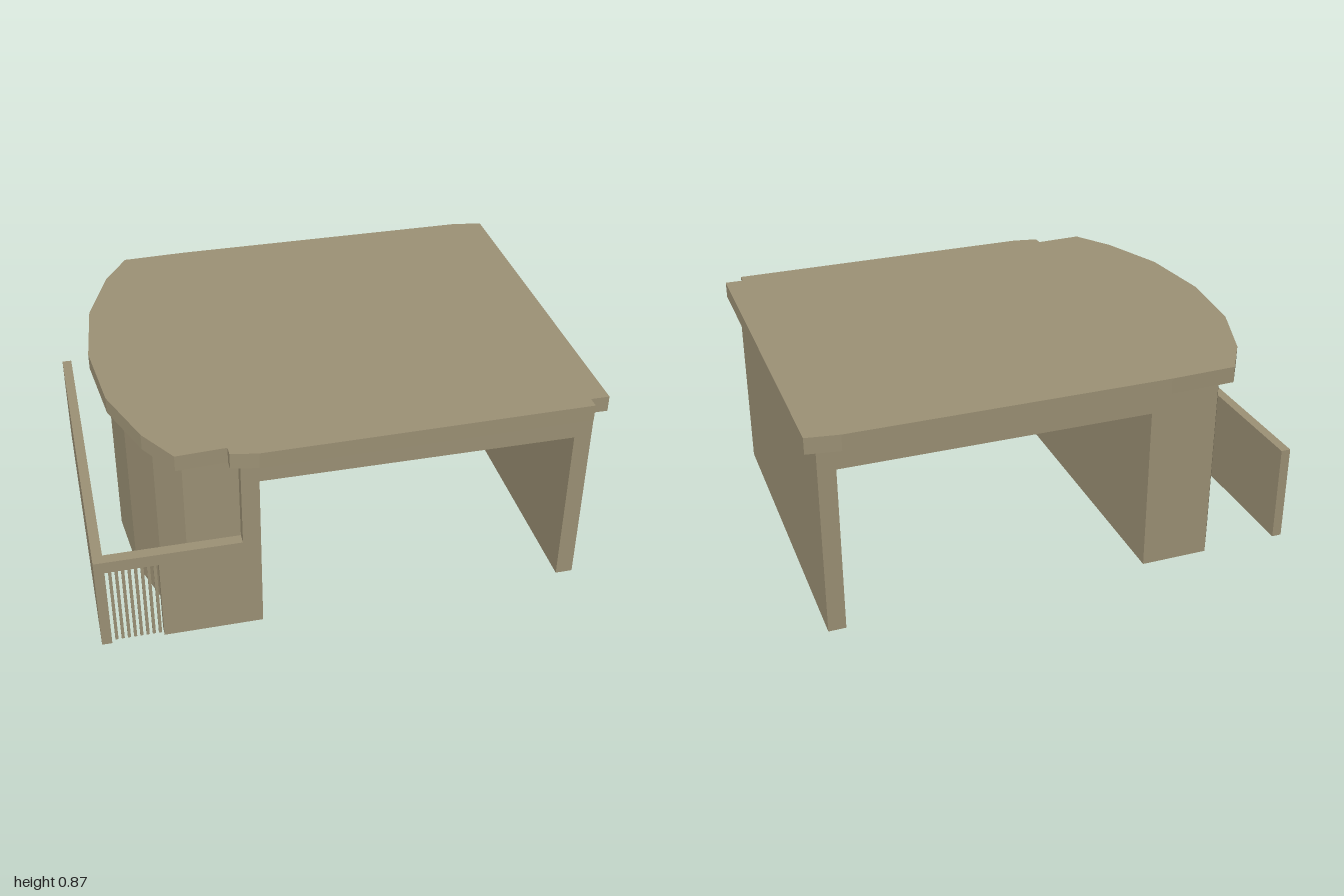
import * as THREE from 'three';

const material = new THREE.MeshStandardMaterial({ color: 0x9c9175, flatShading: true });

export function createModel() {
  const group = new THREE.Group();

  const add = (name, geometry) => {
    const mesh = new THREE.Mesh(geometry, material);
    mesh.name = name;
    group.add(mesh);
    return mesh;
  };

  // box given by its limits on each axis
  const box = (name, x0, x1, y0, y1, z0, z1) => {
    const mesh = add(name, new THREE.BoxGeometry(x1 - x0, y1 - y0, z1 - z0));
    mesh.position.set((x0 + x1) / 2, (y0 + y1) / 2, (z0 + z1) / 2);
  };

  // floor-plan outline of [x, z] points raised from y0 to y1
  const plan = (name, points, y0, y1) => {
    const shape = new THREE.Shape(points.map(([x, z]) => new THREE.Vector2(x, -z)));
    const geometry = new THREE.ExtrudeGeometry(shape, { depth: y1 - y0, bevelEnabled: false });
    add(name, geometry.rotateX(-Math.PI / 2).translate(0, y0, 0));
  };

  // roof slab with a bowed side and notched front corners
  plan('roof', [
    [-0.67, -0.79], [-0.4, -0.8], [0.87, -0.8], [1, -0.78], [1, 0.73], [0.925, 0.73],
    [0.925, 0.775], [-0.37, 0.79], [-0.475, 0.77], [-0.475, 0.73], [-0.67, 0.74],
    [-0.77, 0.58], [-0.87, 0.31], [-0.905, -0.02], [-0.87, -0.35], [-0.77, -0.63],
  ], 0.8, 0.865);

  // solid side block with a bowed outer face
  plan('bowedBlock', [
    [-0.36, -0.73], [-0.36, 0.725], [-0.43, 0.725], [-0.43, 0.68], [-0.64, 0.68],
    [-0.73, 0.53], [-0.81, 0.28], [-0.84, -0.02], [-0.81, -0.33], [-0.73, -0.58], [-0.64, -0.73],
  ], 0, 0.8);

  // ceiling slab and the opposite wall
  box('ceiling', -0.36, 0.88, 0.69, 0.8, -0.73, 0.725);
  box('sideWall', 0.88, 0.95, 0, 0.8, -0.73, 0.725);

  // low yard wall with a barred opening at the front
  box('yardSideWall', -1, -0.96, 0, 0.41, -0.73, 0.725);
  box('yardFrontWall', -0.755, -0.43, 0, 0.41, 0.68, 0.725);
  box('gateLintel', -0.96, -0.755, 0.36, 0.41, 0.68, 0.725);
  for (let i = 0; i < 8; i++) {
    const x = -0.94 + i * 0.0245;
    box('gateBar', x - 0.006, x + 0.006, 0, 0.36, 0.696, 0.708);
  }

  return group;
}
